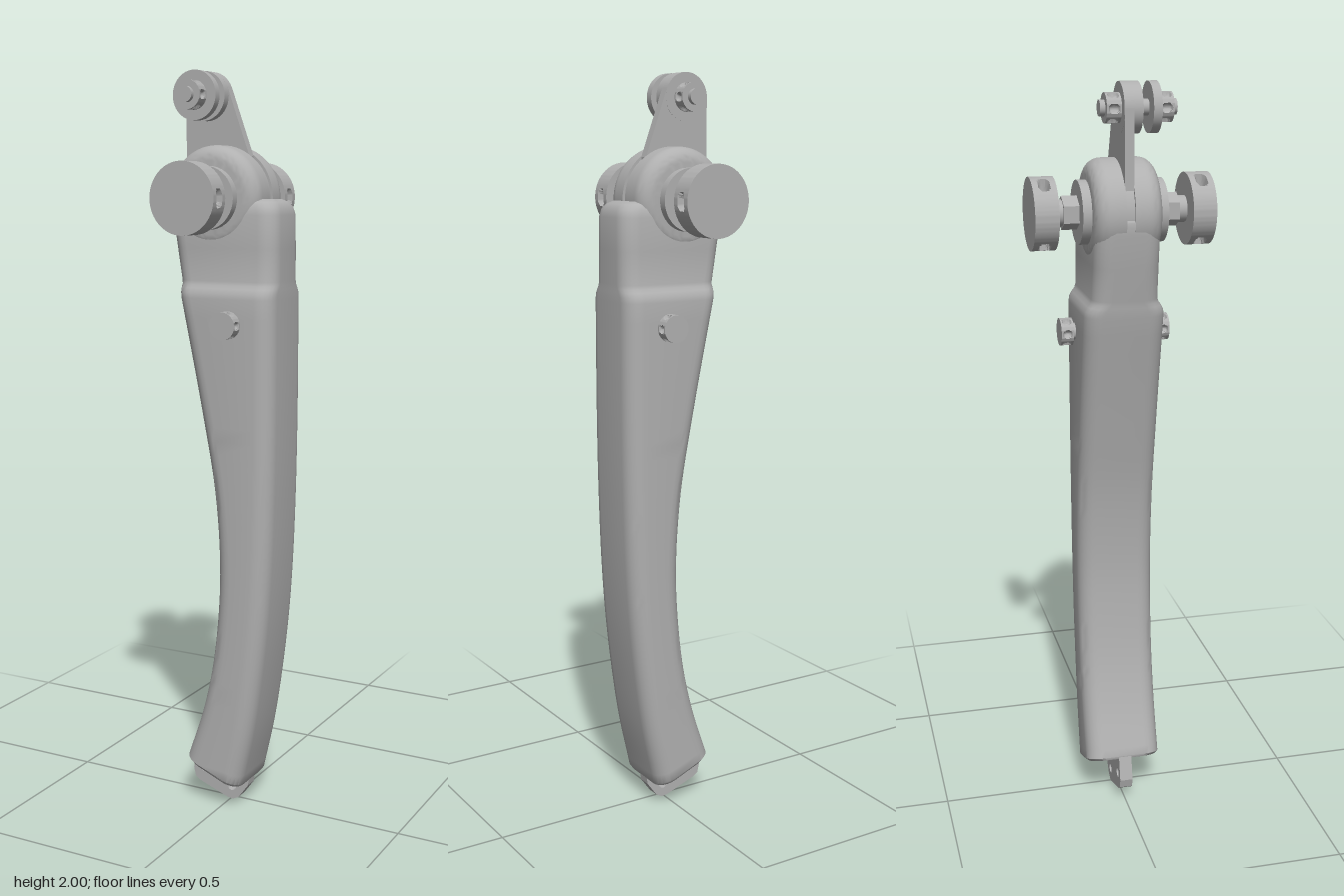
import * as THREE from 'three';
import { toCreasedNormals } from 'three/addons/utils/BufferGeometryUtils.js';

const metal = new THREE.MeshStandardMaterial({ color: 0xb0b0b0 });
metal.name = 'grey metal';

const HUB = [-0.025, 1.678];   // pivot axis of the lever
const EYE = [-0.071, 1.937];   // axis of the clamp bolt above

export function createModel() {
  const model = new THREE.Group();
  const add = (name, geometry, x = 0, y = 0, z = 0) => {
    const mesh = new THREE.Mesh(geometry, metal);
    mesh.name = name;
    mesh.position.set(x, y, z);
    model.add(mesh);
    return mesh;
  };

  // Cylinder along z between two depths
  const rod = (name, [x, y], r, z0, z1, sides = 40) => {
    const g = new THREE.CylinderGeometry(r, r, z1 - z0, sides).rotateX(Math.PI / 2);
    return add(name, sides < 12 ? toCreasedNormals(g, 0.5) : g, x, y, (z0 + z1) / 2);
  };

  // Cylinder along z with oval sockets sunk into its rim
  const socketed = (name, [x, y], r, z0, z1, count, halfWidth, halfHeight, depth) => {
    const h = z1 - z0;
    const g = new THREE.CylinderGeometry(r, r, h, 96, 16).rotateX(Math.PI / 2);
    const p = g.attributes.position;
    const pitch = (Math.PI * 2) / count;
    for (let i = 0; i < p.count; i++) {
      const px = p.getX(i), py = p.getY(i), pz = p.getZ(i);
      if (Math.abs(pz) > h / 2 - 1e-5) continue;
      let a = Math.atan2(py, px);
      a -= Math.round(a / pitch) * pitch;
      const d = Math.hypot((a * r) / halfWidth, pz / halfHeight);
      if (d >= 1) continue;
      const s = 1 - (depth / r) * Math.sqrt(1 - d * d);
      p.setXY(i, px * s, py * s);
    }
    return add(name, toCreasedNormals(g, 0.6), x, y, (z0 + z1) / 2);
  };

  // Flat plate centred on a depth
  const plate = (name, shape, z0, z1) =>
    add(name, new THREE.ExtrudeGeometry(shape, { depth: z1 - z0, bevelEnabled: false, curveSegments: 24 }), 0, 0, z0);

  add('leverHandle', handleGeometry());

  // Pivot hub: two rounded cheeks with a slot for the link
  for (const side of [1, -1]) {
    const pts = [[0, 0.011], [0.134, 0.011]];
    for (let i = 0; i <= 8; i++) {
      const a = (i / 8) * Math.PI / 2;
      pts.push([0.094 + 0.04 * Math.cos(a), 0.047 + 0.04 * Math.sin(a)]);
    }
    pts.push([0, 0.087]);
    const g = new THREE.LatheGeometry(pts.map(([r, z]) => new THREE.Vector2(r, z)), 64);
    g.rotateX(side * Math.PI / 2);
    add('hubCheek', toCreasedNormals(g, 0.6), ...HUB, 0);
  }
  rod('hubCore', HUB, 0.127, -0.012, 0.012, 64);

  // Mirrored axle ends, knobs and side screws
  for (const side of [1, -1]) {
    const span = (a, b) => (side > 0 ? [a, b] : [-b, -a]);
    rod('hubCollar', HUB, 0.081, ...span(0.08, 0.11));
    rod('axleNut', HUB, 0.043, ...span(0.1, 0.15), 6);
    rod('axle', HUB, 0.034, ...span(0.1, 0.18));
    socketed('knob', HUB, 0.092, ...span(0.171, 0.232), 3, 0.024, 0.014, 0.045);
    const screw = [0.042, 1.355];
    rod('screwStem', screw, 0.022, ...span(0.09, 0.125));
    socketed('screwHead', screw, 0.036, ...span(0.113, 0.146), 6, 0.011, 0.012, 0.012);
  }

  // Link rising from the hub slot
  const link = new THREE.Shape();
  link.moveTo(0.05, 1.68);
  link.lineTo(0.052, 1.785);
  link.lineTo(-0.011, 1.958);
  link.absarc(...EYE, 0.063, 0.34, Math.PI, false);
  link.lineTo(-0.134, 1.68);
  plate('link', link, -0.012, 0.012);

  // Clamp bolt with its washers and nuts
  rod('linkEye', EYE, 0.063, -0.0125, 0.035, 48);
  rod('washer', EYE, 0.063, 0.061, 0.083, 48);
  rod('clampBolt', EYE, 0.02, -0.063, 0.132);
  socketed('clampNut', EYE, 0.037, -0.05, -0.012, 6, 0.012, 0.014, 0.012);
  socketed('clampNut', EYE, 0.037, 0.083, 0.12, 6, 0.012, 0.014, 0.012);

  // Drilled tang at the foot
  const tang = new THREE.Shape([
    [-0.1, 0.15], [-0.106, 0.125], [-0.119, 0.07], [-0.113, 0.045], [-0.1, 0.035],
    [-0.01, 0.002], [0.008, 0], [0.026, 0.01], [0.055, 0.05], [0.06, 0.09],
  ].map(([x, y]) => new THREE.Vector2(x, y)));
  for (const [x, y] of [[-0.086, 0.078], [0.004, 0.038]]) {
    tang.holes.push(new THREE.Path().absarc(x, y, 0.013, 0, Math.PI * 2, true));
  }
  plate('footTang', tang, -0.018, 0.018);

  return model;
}

// Rounded-rectangle sections lofted between the handle's left and right edges
function handleGeometry() {
  const curve = (pts) => new THREE.CatmullRomCurve3(pts.map(([x, y]) => new THREE.Vector3(x, y, 0)));
  const left = curve([[-0.104, 0.14], [-0.06, 0.27], [-0.029, 0.4], [-0.01, 0.55], [-0.004, 0.7],
    [-0.018, 0.9], [-0.057, 1.12], [-0.119, 1.42]]);
  const right = curve([[0.062, 0.075], [0.096, 0.23], [0.119, 0.38], [0.137, 0.54], [0.148, 0.7],
    [0.155, 0.9], [0.158, 1.12], [0.158, 1.42]]);

  // Each section: left x, left y, right x, right y, half depth
  const sections = [[-0.092, 0.127, 0.047, 0.065, 0.088], [-0.101, 0.131, 0.056, 0.066, 0.098]];
  for (let i = 0; i <= 42; i++) {
    const a = left.getPoint(i / 42), b = right.getPoint(i / 42);
    sections.push([a.x, a.y, b.x, b.y, 0.105]);
  }
  // Step in to the thinner neck, then round over the shoulder
  for (const [y, xl, xr, hz] of [
    [1.434, -0.121, 0.158, 0.103], [1.446, -0.123, 0.158, 0.096], [1.455, -0.124, 0.158, 0.089],
    [1.465, -0.126, 0.158, 0.086], [1.55, -0.14, 0.158, 0.085], [1.635, -0.154, 0.157, 0.084],
    [1.655, -0.155, 0.152, 0.08], [1.668, -0.155, 0.142, 0.072], [1.675, -0.15, 0.128, 0.06],
  ]) sections.push([xl, y, xr, y, hz]);

  const STEPS = 7, N = STEPS * 4;
  const pos = [], index = [];
  for (const [xl, yl, xr, yr, hz] of sections) {
    const half = Math.hypot(xr - xl, yr - yl) / 2;
    const ux = (xr - xl) / (2 * half), uy = (yr - yl) / (2 * half);
    const r = 0.046;
    for (let c = 0; c < 4; c++) {
      const su = c === 0 || c === 3 ? 1 : -1, sz = c < 2 ? 1 : -1;
      for (let k = 0; k < STEPS; k++) {
        const a = (c + k / (STEPS - 1)) * Math.PI / 2;
        const u = su * (half - r) + r * Math.cos(a);
        pos.push((xl + xr) / 2 + ux * u, (yl + yr) / 2 + uy * u, sz * (hz - r) + r * Math.sin(a));
      }
    }
  }
  const last = (sections.length - 1) * N;
  for (let j = 0; j < N; j++) {
    const k = (j + 1) % N;
    for (let o = 0; o < last; o += N) {
      index.push(o + j, o + N + j, o + k, o + k, o + N + j, o + N + k);
    }
    // End caps
    if (j > 0 && j < N - 1) index.push(0, j, k, last, last + k, last + j);
  }
  const g = new THREE.BufferGeometry();
  g.setAttribute('position', new THREE.Float32BufferAttribute(pos, 3));
  g.setIndex(index);
  return toCreasedNormals(g, 0.7);
}
